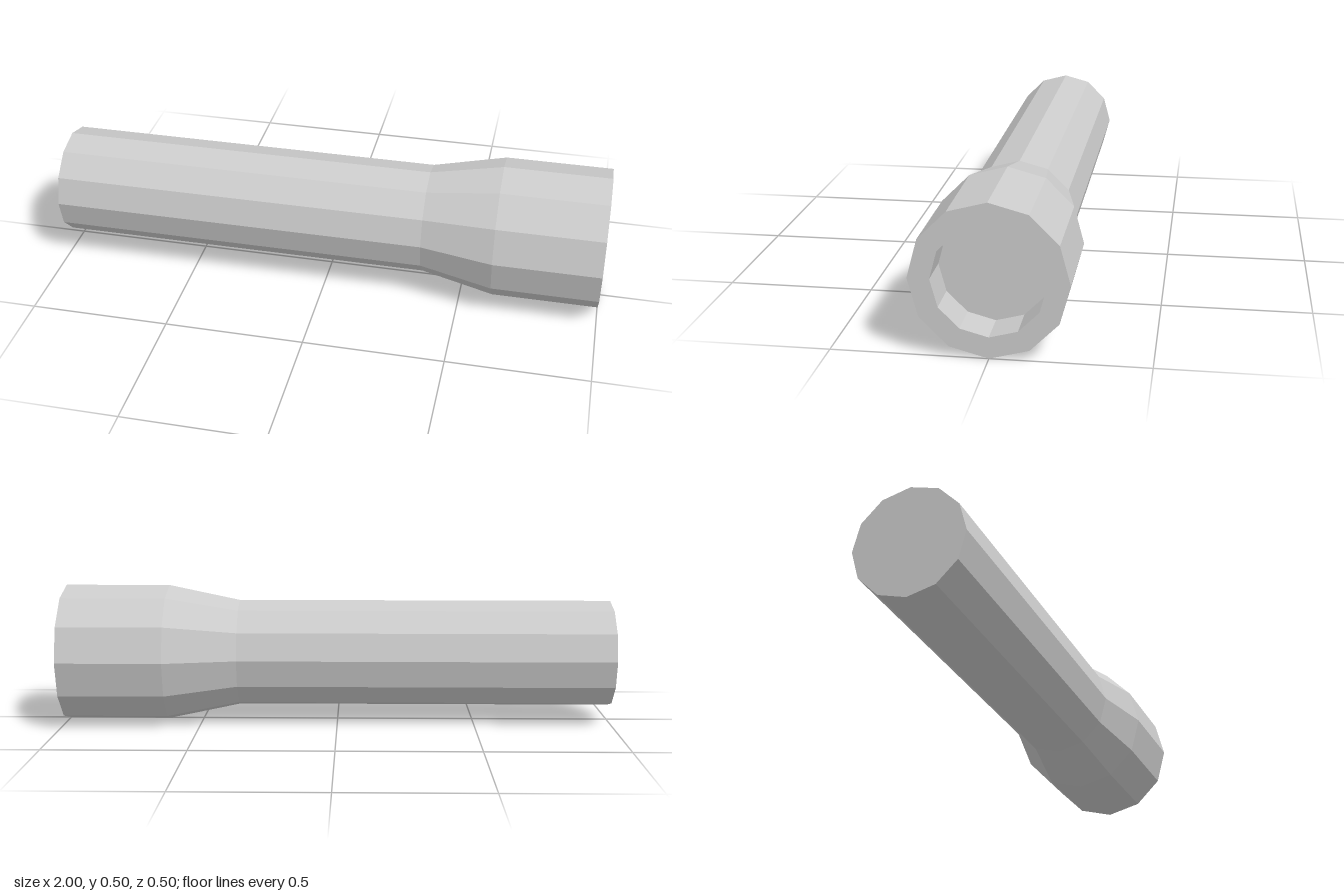
import * as THREE from 'three';

const SIDES = 12;
const AXIS_HEIGHT = 0.25;

// Twelve-sided turned part lying along x; profile is [radius, x] pairs
function turned(name, profile, material) {
  const points = profile.map(([r, x]) => new THREE.Vector2(r, x));
  const geometry = new THREE.LatheGeometry(points, SIDES);
  geometry.rotateZ(-Math.PI / 2);
  const mesh = new THREE.Mesh(geometry, material);
  mesh.name = name;
  mesh.position.y = AXIS_HEIGHT;
  return mesh;
}

export function createModel() {
  const group = new THREE.Group();
  group.name = 'flashlight';
  const grey = new THREE.MeshStandardMaterial({
    color: 0xcccccc, flatShading: true, side: THREE.DoubleSide,
  });

  // Long grip with a closed end cap
  group.add(turned('handle', [[0, -1], [0.195, -1], [0.195, 0.36]], grey));
  // Flared neck widening into the head
  group.add(turned('neck', [[0.195, 0.36], [0.25, 0.62]], grey));
  // Head with a thick rim and the inner wall of the recess
  group.add(turned('head', [[0.25, 0.62], [0.25, 1], [0.18, 1], [0.18, 0.865]], grey));
  // Flat lens at the bottom of the recess
  group.add(turned('lens', [[0.18, 0.865], [0, 0.865]], grey));

  return group;
}
